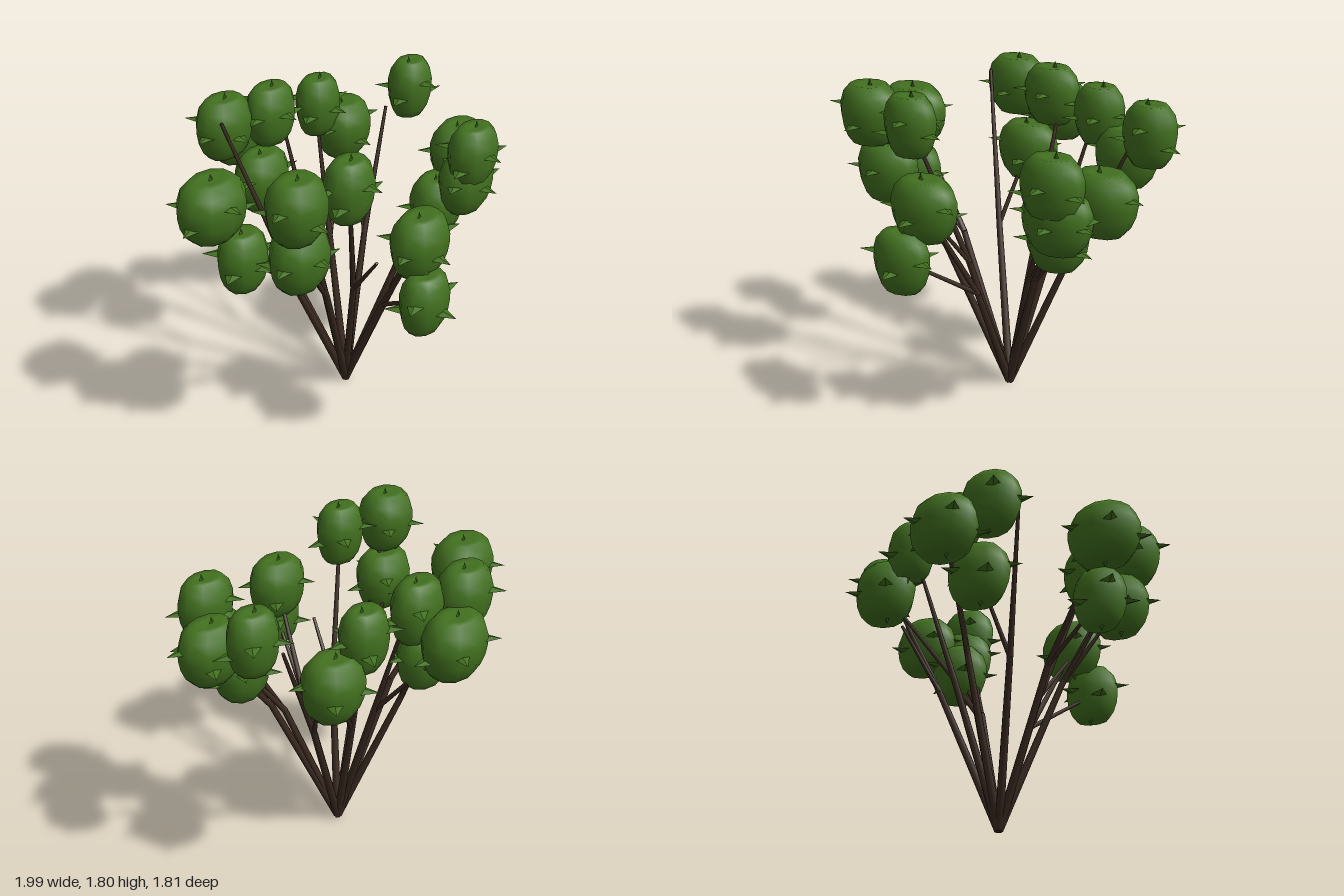
import * as THREE from 'three';

const leafGreen = new THREE.MeshStandardMaterial({ color: 0x42711f, side: THREE.DoubleSide });
leafGreen.name = 'leafGreen';
const barkBrown = new THREE.MeshStandardMaterial({ color: 0x3a2a20 });
barkBrown.name = 'barkBrown';

const BASE = [0.035, 0, 0.02];

// Each stem: fork point, then the foliage it carries as [x, y, z, half width, half depth];
// tip is where the first branch ends when it passes beside its foliage, twig a bare side branch
const STEMS = [
  { fork: [-0.32, 0.84, -0.07], heads: [[-0.75, 1.45, -0.21, 0.205, 0.155], [-0.66, 1.14, -0.1, 0.15, 0.12]] },
  { fork: [-0.29, 0.82, 0.15], heads: [[-0.68, 1.6, 0.3, 0.17, 0.145], [-0.61, 1.27, 0.25, 0.18, 0.14]], twig: [-0.54, 1.2, 0.17] },
  { fork: [-0.12, 0.8, 0.2], heads: [[-0.37, 1.6, 0.37, 0.15, 0.115]], twig: [-0.2, 1.1, 0.42] },
  { fork: [0, 0.68, 0.31], heads: [[-0.12, 1.27, 0.63, 0.185, 0.135], [-0.2, 1.0, 0.73, 0.16, 0.115]] },
  { fork: [0.26, 0.78, 0.21], heads: [[0.48, 1.12, 0.31, 0.17, 0.14], [0.54, 1.465, 0.49, 0.17, 0.12]] },
  { fork: [0.32, 0.82, 0.25], heads: [[0.71, 1.35, 0.28, 0.19, 0.14], [0.55, 1.28, 0.45, 0.19, 0.13]] },
  { fork: [0.35, 0.82, -0.1], heads: [[0.78, 1.6, -0.12, 0.145, 0.115]], tip: [0.65, 1.5, -0.19], twig: [0.5, 1.2, -0.28] },
  { fork: [0.18, 0.82, -0.22], heads: [[0.34, 1.55, -0.44, 0.145, 0.115], [0.53, 1.35, -0.41, 0.18, 0.15]], tip: [0.3, 1.45, -0.41] },
  { fork: [0.06, 0.9, -0.27], heads: [[0.01, 1.6, -0.5, 0.165, 0.115], [-0.05, 1.45, -0.7, 0.2, 0.15]], tip: [0.07, 1.5, -0.46] },
  { fork: [-0.19, 0.85, -0.25], heads: [[-0.265, 1.6, -0.585, 0.178, 0.13], [-0.12, 1.26, -0.46, 0.18, 0.13]], tip: [-0.385, 1.69, -0.485] },
];

// Rounded foliage with a faintly sunken crown, unit radius
const PROFILE = [
  [0, -0.158], [0.35, -0.16], [0.62, -0.163], [0.82, -0.12], [0.95, -0.06], [1, 0], [1, 0.05],
  [0.88, 0.115], [0.62, 0.163], [0.35, 0.16], [0, 0.155],
].map(([r, y]) => new THREE.Vector2(r, y));
const headGeometry = new THREE.LatheGeometry(PROFILE, 10);

// Flat four-sided thorn, base at its origin
const thornGeometry = new THREE.ConeGeometry(0.05, 0.105, 4).toNonIndexed();
thornGeometry.translate(0, 0.0525, 0);
thornGeometry.scale(1, 1, 0.32);
thornGeometry.computeVertexNormals();

const UP = new THREE.Vector3(0, 1, 0);

function limb(name, from, to, r0, r1) {
  const a = new THREE.Vector3(...from), b = new THREE.Vector3(...to);
  const dir = b.clone().sub(a);
  const mesh = new THREE.Mesh(new THREE.CylinderGeometry(r1, r0, dir.length(), 7), barkBrown);
  mesh.name = name;
  mesh.position.copy(a).add(b).multiplyScalar(0.5);
  mesh.quaternion.setFromUnitVectors(UP, dir.normalize());
  return mesh;
}

function foliage([x, y, z, rx, rz], seed) {
  const group = new THREE.Group();
  group.name = 'foliageHead';
  group.position.set(x, y, z);

  const body = new THREE.Mesh(headGeometry, leafGreen);
  body.name = 'foliageBody';
  body.scale.set(rx, 1, rz);
  group.add(body);

  // Ring of side thorns at varied heights, broad sides level
  for (let i = 0; i < 5; i++) {
    const angle = Math.PI / 2 + (i * Math.PI * 2) / 5 + 0.1 * Math.sin(seed * 2.3);
    const h = 0.05 * Math.sin(seed * 1.7 + i * 2.4);
    const thorn = new THREE.Mesh(thornGeometry, leafGreen);
    thorn.name = 'sideThorn';
    thorn.position.set(rx * 0.78 * Math.cos(angle), h, rz * 0.78 * Math.sin(angle));
    thorn.rotation.set(Math.PI / 2, Math.PI / 2 - angle, 0, 'YXZ');
    group.add(thorn);
  }

  // Small thorns above the crown and under the base
  for (const side of [1, -1]) {
    const thorn = new THREE.Mesh(thornGeometry, leafGreen);
    thorn.name = side > 0 ? 'crownThorn' : 'baseThorn';
    thorn.position.set(0.02 * Math.sin(seed * 3), side * 0.115, 0);
    thorn.scale.set(0.6, 0.75, 0.6);
    if (side < 0) thorn.rotation.x = Math.PI;
    group.add(thorn);
  }
  return group;
}

export function createModel() {
  const model = new THREE.Group();
  model.name = 'thornyShrub';
  let seed = 1;
  for (const { fork, heads, tip, twig } of STEMS) {
    model.add(limb('mainStem', BASE, fork, 0.025, 0.018));
    if (twig) model.add(limb('twig', fork, twig, 0.014, 0.009));
    heads.forEach((head, i) => {
      const end = i === 0 && tip ? tip : head.slice(0, 3);
      model.add(limb('branch', fork, end, i === 0 ? 0.018 : 0.014, 0.009));
      model.add(foliage(head, seed++));
    });
  }
  return model;
}
